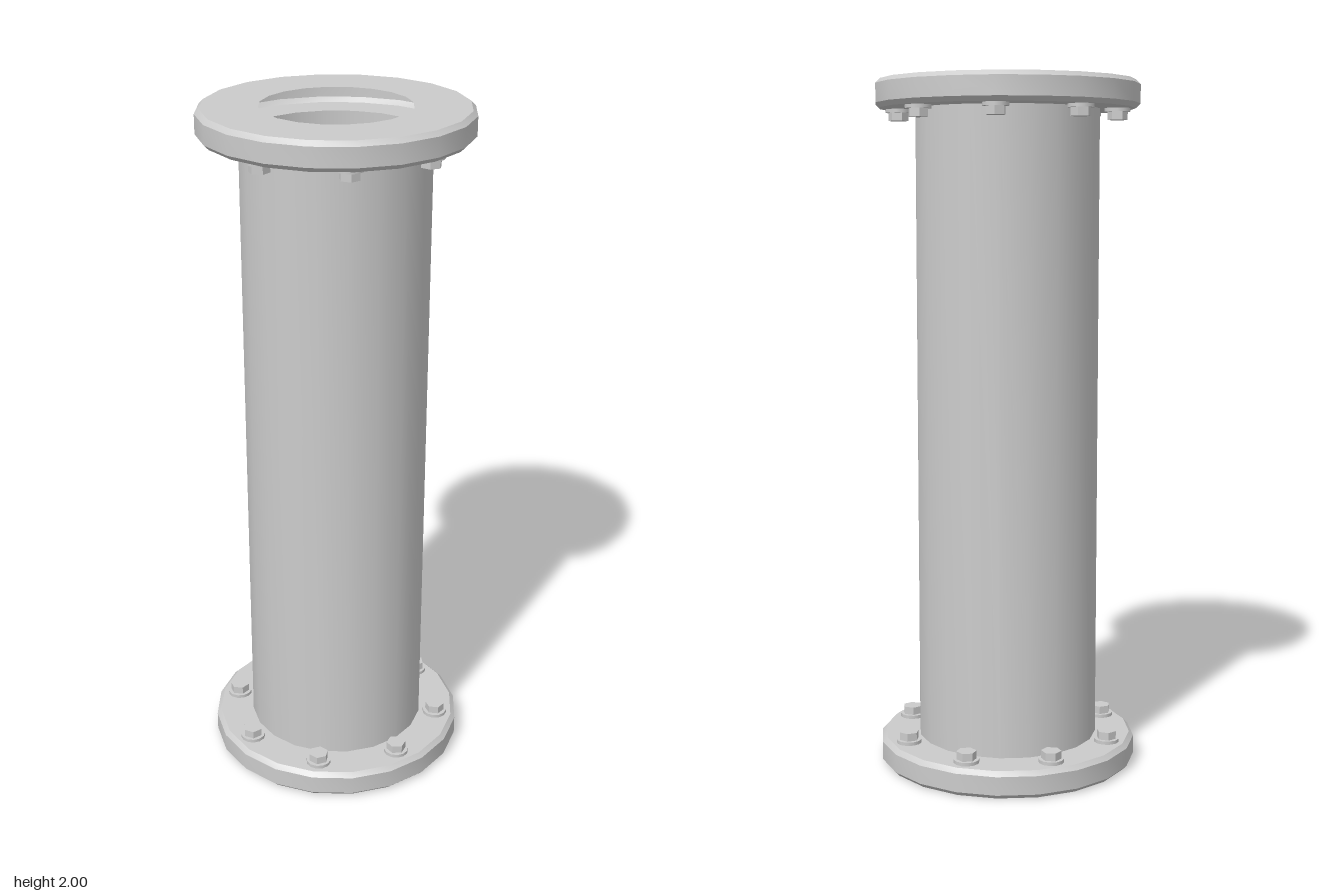
import * as THREE from 'three';
import { toCreasedNormals } from 'three/addons/utils/BufferGeometryUtils.js';

const SIDES = 20;
const PIPE_R = 0.265, HOLE_R = 0.21, FLANGE_R = 0.38;
const FLANGE_H = 0.08, BEVEL = 0.013;
const BOLTS = 8, BOLT_RING = 0.315, BOLT_TURN = THREE.MathUtils.degToRad(-8);

const material = new THREE.MeshStandardMaterial({ color: 0xcccccc, side: THREE.DoubleSide });

function part(name, geometry, y = 0) {
  const mesh = new THREE.Mesh(geometry, material);
  mesh.name = name;
  mesh.position.y = y;
  return mesh;
}

function lathe(points) {
  const profile = points.map(([r, y]) => new THREE.Vector2(r, y));
  return toCreasedNormals(new THREE.LatheGeometry(profile, SIDES), 0.6);
}

// Hex head on a round washer, standing on y = 0
function makeBolt() {
  const bolt = new THREE.Group();
  bolt.name = 'bolt';
  const washer = toCreasedNormals(new THREE.CylinderGeometry(0.037, 0.037, 0.01, 12), 0.6);
  const head = toCreasedNormals(new THREE.CylinderGeometry(0.029, 0.029, 0.024, 6), 0.6);
  bolt.add(part('washer', washer, 0.005), part('boltHead', head, 0.021));
  return bolt;
}

// Bottom end: bevelled hollow flange, open towards the bore, with a ring of bolts
function makeEnd(name) {
  const end = new THREE.Group();
  end.name = name;
  end.add(part('flange', lathe([
    [HOLE_R, 0],
    [FLANGE_R - BEVEL, 0],
    [FLANGE_R, BEVEL],
    [FLANGE_R, FLANGE_H - BEVEL],
    [FLANGE_R - BEVEL, FLANGE_H],
    [PIPE_R, FLANGE_H],
  ])));
  for (let i = 0; i < BOLTS; i++) {
    const a = BOLT_TURN + (i / BOLTS) * Math.PI * 2;
    const bolt = makeBolt();
    bolt.position.set(Math.sin(a) * BOLT_RING, FLANGE_H, Math.cos(a) * BOLT_RING);
    bolt.rotation.y = a;
    end.add(bolt);
  }
  return end;
}

export function createModel() {
  const model = new THREE.Group();
  model.name = 'flangedPipe';

  // Thin open pipe wall between the two flanges
  model.add(part('pipe', lathe([[PIPE_R, FLANGE_H], [PIPE_R, 2 - FLANGE_H]])));

  // The top end is the bottom end turned over
  const top = makeEnd('topEnd');
  top.rotation.x = Math.PI;
  top.position.y = 2;
  model.add(makeEnd('bottomEnd'), top);
  return model;
}
